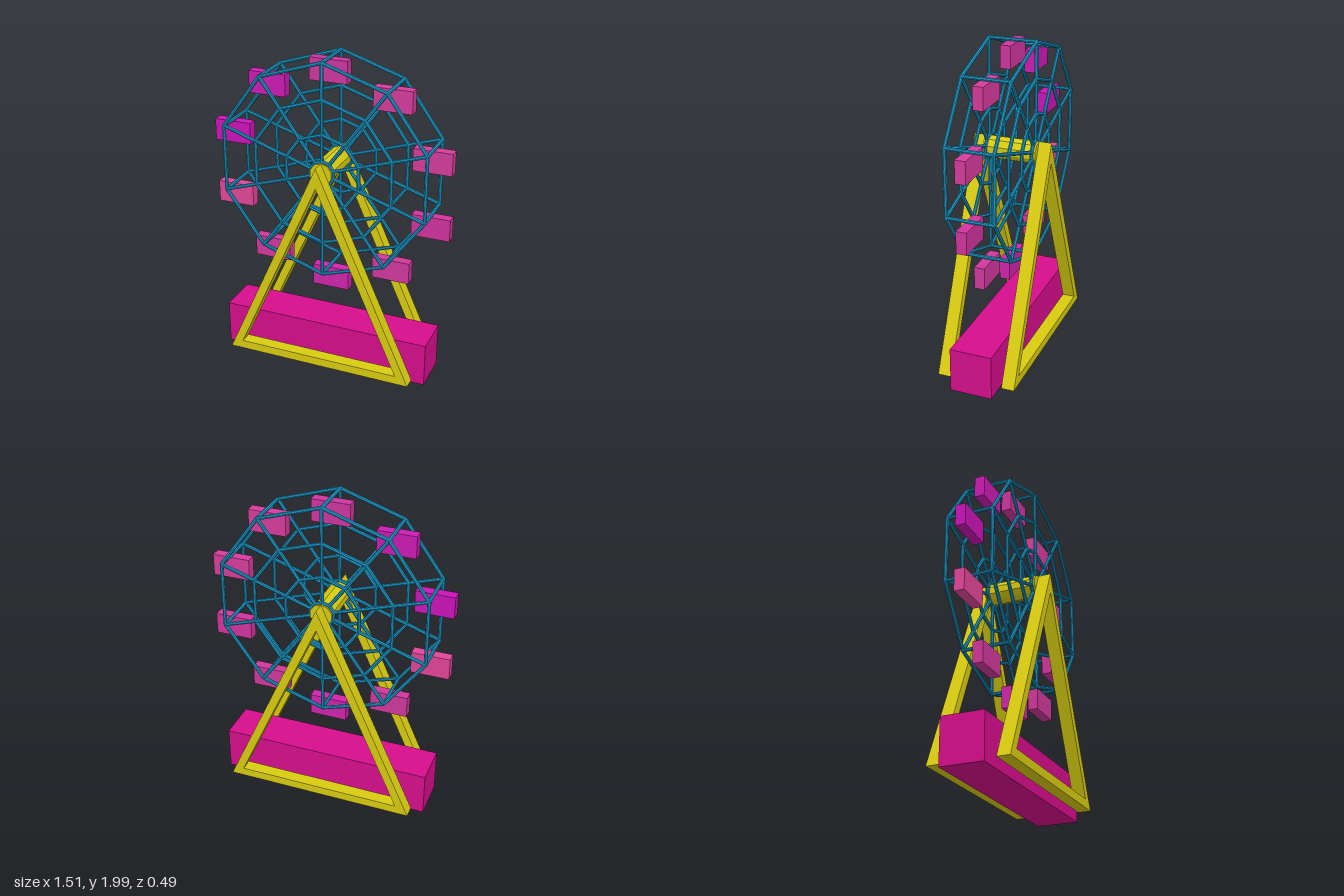
import * as THREE from 'three';

const CENTRE = 1.315, SIDES = 10, RADIUS = 0.667, WHEEL_Z = 0.146;
const paint = (color) => new THREE.MeshStandardMaterial({ color, flatShading: true });
const blue = paint(0x1a9ccc), yellow = paint(0xd8cc10), magenta = paint(0xd60e8c);

function addMesh(parent, name, geometry, material, x = 0, y = 0, z = 0) {
  const mesh = new THREE.Mesh(geometry, material);
  mesh.name = name;
  mesh.position.set(x, y, z);
  parent.add(mesh);
  return mesh;
}

// Round bar between two points
function addBar(parent, name, a, b, radius = 0.0115) {
  const dir = b.clone().sub(a);
  const geo = new THREE.CylinderGeometry(radius, radius, dir.length() + radius * 0.6, 8);
  const bar = addMesh(parent, name, geo, blue);
  bar.position.copy(a).add(b).multiplyScalar(0.5);
  bar.quaternion.setFromUnitVectors(new THREE.Vector3(0, 1, 0), dir.normalize());
}

// Point on the wheel, counted clockwise from the top
function rim(i, r, z) {
  const t = (i / SIDES) * Math.PI * 2;
  return new THREE.Vector3(Math.sin(t) * r, Math.cos(t) * r, z);
}

function triangle(Type, halfWidth, bottom, top) {
  const p = new Type();
  p.moveTo(-halfWidth, bottom);
  p.lineTo(halfWidth, bottom);
  p.lineTo(0, top);
  p.closePath();
  return p;
}

export function createModel() {
  const model = new THREE.Group();
  model.name = 'ferrisWheel';

  // Base block
  addMesh(model, 'base', new THREE.BoxGeometry(1.34, 0.28, 0.262), magenta, 0, 0.14, 0);

  // Triangular support frames, front and back
  const outline = triangle(THREE.Shape, 0.6, 0.04, 1.385);
  outline.holes.push(triangle(THREE.Path, 0.518, 0.095, 1.255));
  const frameGeo = new THREE.ExtrudeGeometry(outline, { depth: 0.08, bevelEnabled: false });
  addMesh(model, 'frontFrame', frameGeo, yellow, 0, 0, 0.165);
  addMesh(model, 'backFrame', frameGeo, yellow, 0, 0, -0.245);

  // Axle hub
  const hubGeo = new THREE.CylinderGeometry(0.07, 0.07, 0.334, 10);
  hubGeo.rotateX(Math.PI / 2);
  addMesh(model, 'hub', hubGeo, yellow, 0, CENTRE, 0);

  // Two wheel faces of spokes and rings, joined at the rim
  const wheel = new THREE.Group();
  wheel.name = 'wheel';
  wheel.position.y = CENTRE;
  model.add(wheel);
  for (let i = 0; i < SIDES; i++) {
    for (const z of [-WHEEL_Z, WHEEL_Z]) {
      addBar(wheel, 'spoke', rim(i, 0.05, z), rim(i, RADIUS, z));
      for (const r of [0.075, 0.24, 0.45, RADIUS])
        addBar(wheel, 'ring', rim(i, r, z), rim(i + 1, r, z));
    }
    addBar(wheel, 'crossBar', rim(i, RADIUS, -WHEEL_Z), rim(i, RADIUS, WHEEL_Z));
  }

  // Upright cabins hanging below each rim joint
  const cabinColors = [0xcf369f, 0xd63c9c, 0xd63c9c, 0xd2349e, 0xd0389c,
    0xd024ac, 0xd0389c, 0xe2469a, 0xcc14b8, 0xcc1cb4];
  const cabinGeo = new THREE.BoxGeometry(0.235, 0.136, 0.064);
  cabinColors.forEach((color, i) => {
    const p = rim(i, RADIUS, 0);
    // Cabins swing a touch as the wheel turns
    const sway = -0.008 * Math.cos((i / SIDES) * Math.PI * 2);
    addMesh(model, 'cabin', cabinGeo, paint(color), p.x + sway, CENTRE + p.y - 0.078, 0.002);
  });

  return model;
}
